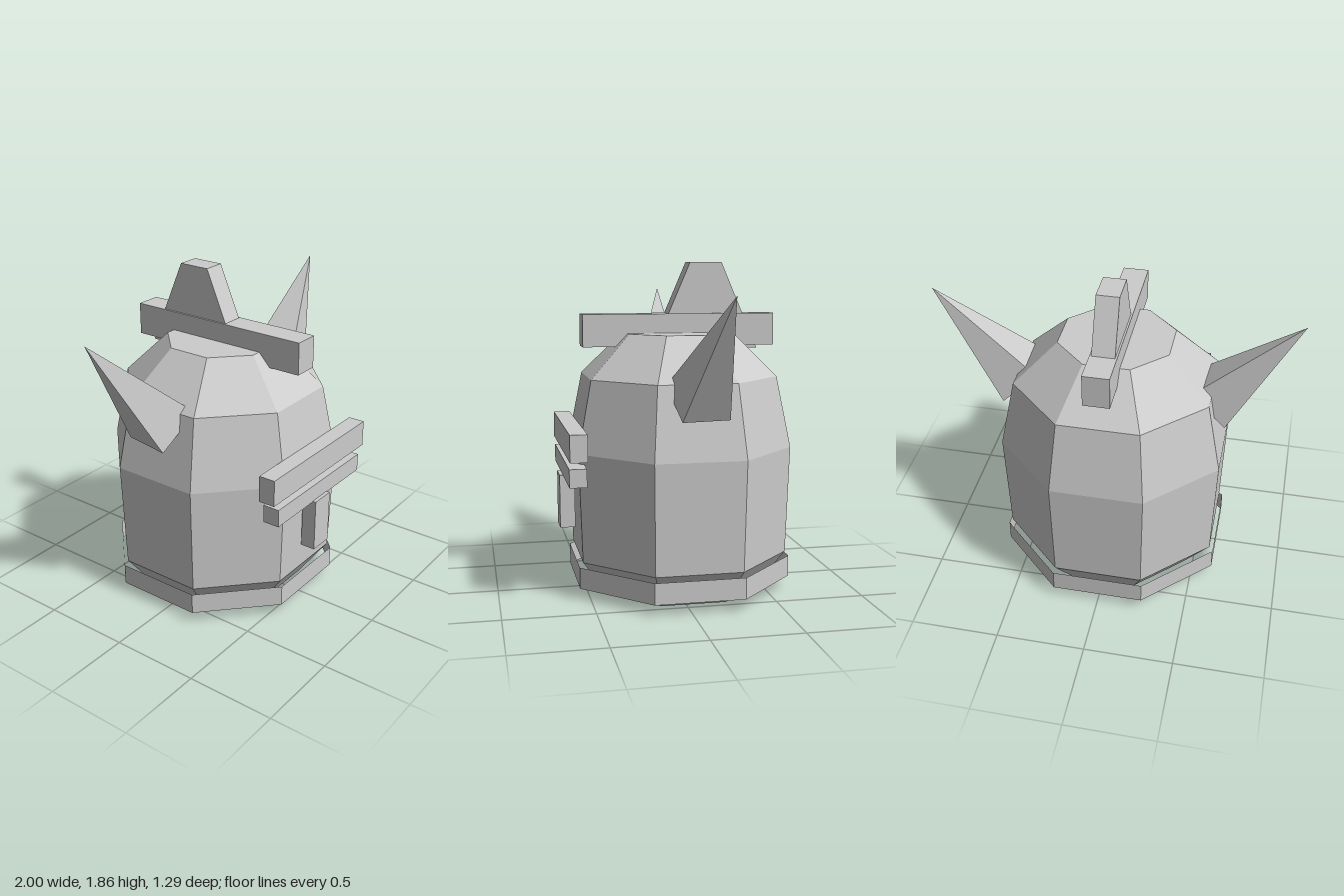
import * as THREE from 'three';
import { ConvexGeometry } from 'three/addons/geometries/ConvexGeometry.js';

export function createModel() {
  const model = new THREE.Group();
  model.name = 'hornedHelmet';

  const steel = new THREE.MeshStandardMaterial({ color: 0xcccccc, flatShading: true });
  steel.name = 'steel grey';
  const thinSteel = new THREE.MeshStandardMaterial({ color: 0xcccccc, flatShading: true, side: THREE.DoubleSide });
  thinSteel.name = 'steel grey thin';

  const add = (name, geometry, material = steel) => {
    const mesh = new THREE.Mesh(geometry, material);
    mesh.name = name;
    model.add(mesh);
    return mesh;
  };

  // Box given by its min and max corners, symmetric in x
  const bar = (name, halfWidth, y0, y1, z0, z1) => {
    const mesh = add(name, new THREE.BoxGeometry(halfWidth * 2, y1 - y0, z1 - z0));
    mesh.position.set(0, (y0 + y1) / 2, (z0 + z1) / 2);
  };

  // Eight-sided shell; the profile lists distance to the flat side and height
  const octagon = (profile) => {
    const points = profile.map(([r, y]) => new THREE.Vector2(r / Math.cos(Math.PI / 8), y));
    return new THREE.LatheGeometry(points, 8, Math.PI / 8)
      .scale(1, 1, 0.97)
      .translate(0, 0, -0.043);
  };

  // Dome with a chamfered foot and flat caps
  add('dome', octagon([
    [0, 0], [0.45, 0], [0.6, 0.21], [0.62, 0.82], [0.54, 1.22], [0.305, 1.46], [0, 1.46],
  ]));

  // Thin open band around the foot
  add('rimBand', octagon([[0.62, 0.065], [0.62, 0.185]]), thinSteel);

  // Face plates
  bar('browPlate', 0.452, 0.81, 0.96, 0.53, 0.625);
  bar('eyePlate', 0.407, 0.667, 0.768, 0.53, 0.625);
  bar('noseGuard', 0.072, 0.37, 0.672, 0.56, 0.645);

  // Ridge along the top with a tapered fin
  bar('topRidge', 0.072, 1.387, 1.568, -0.59, 0.505);
  const finSide = [[1.37, 0.105], [1.37, -0.495], [1.855, -0.285], [1.855, -0.105]];
  add('crestFin', new ConvexGeometry(
    [-0.062, 0.062].flatMap((x) => finSide.map(([y, z]) => new THREE.Vector3(x, y, z)))
  ));

  // Four-sided horns, tip first, base partly sunk into the dome
  const hornPoints = [
    [1, 1.69, -0.12],
    [0.67, 1.04, 0.07],
    [0.625, 1.04, -0.195],
    [0.43, 1.214, -0.165],
    [0.45, 1.207, 0.113],
  ];
  for (const side of [1, -1]) {
    add(side > 0 ? 'leftHorn' : 'rightHorn', new ConvexGeometry(
      hornPoints.map(([x, y, z]) => new THREE.Vector3(side * x, y, z))
    ));
  }

  return model;
}
